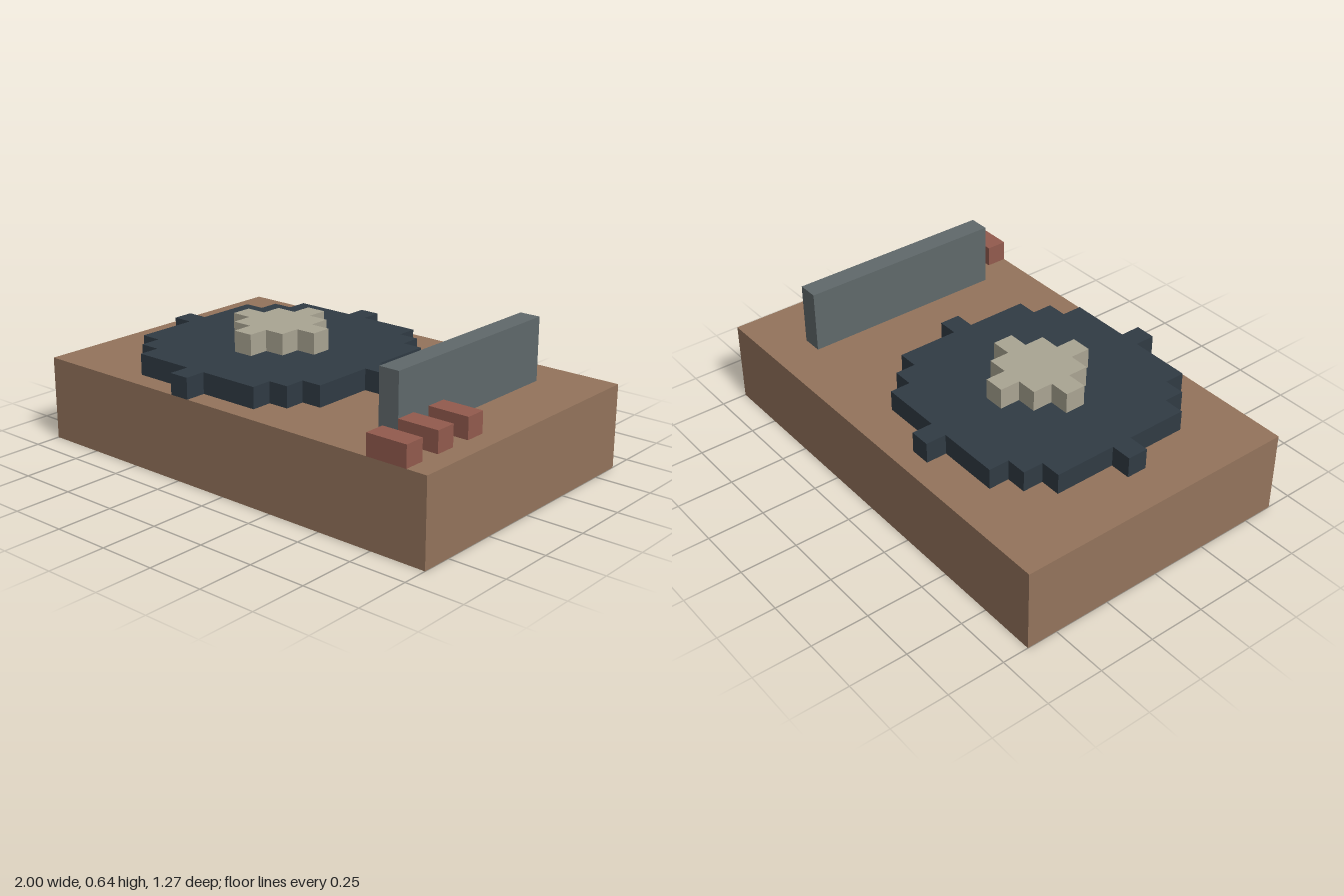
import * as THREE from 'three';

const U = 2 / 22; // one block

function addMesh(parent, name, geometry, color) {
  const material = new THREE.MeshStandardMaterial({ color, flatShading: true });
  const mesh = new THREE.Mesh(geometry, material);
  mesh.name = name;
  parent.add(mesh);
  return mesh;
}

// Box given by its lower and upper corners, in blocks
function block(parent, name, [x0, y0, z0], [x1, y1, z1], color) {
  const geometry = new THREE.BoxGeometry((x1 - x0) * U, (y1 - y0) * U, (z1 - z0) * U);
  const mesh = addMesh(parent, name, geometry, color);
  mesh.position.set((x0 + x1) / 2 * U, (y0 + y1) / 2 * U, (z0 + z1) / 2 * U);
}

// Stepped disc, one block thick: every cell whose centre lies within the radius
function steppedDisc(parent, name, radius, [x, y, z], color) {
  const right = [];
  const left = [];
  for (let row = -radius; row <= radius; row++) {
    const half = Math.floor(Math.sqrt(radius * radius - row * row)) + 0.5;
    for (const edge of [row - 0.5, row + 0.5]) {
      right.push(new THREE.Vector2(half * U, edge * U));
      left.unshift(new THREE.Vector2(-half * U, edge * U));
    }
  }
  // Drop corners that lie along a straight edge
  const points = [...right, ...left].filter((p, i, all) => {
    const a = all[(i + all.length - 1) % all.length];
    const b = all[(i + 1) % all.length];
    const cross = (p.x - a.x) * (b.y - p.y) - (p.y - a.y) * (b.x - p.x);
    return Math.abs(cross) > 1e-8;
  });
  const geometry = new THREE.ExtrudeGeometry(new THREE.Shape(points), { depth: U, bevelEnabled: false });
  geometry.rotateX(-Math.PI / 2);
  addMesh(parent, name, geometry, color).position.set(x * U, y * U, z * U);
}

export function createModel() {
  const model = new THREE.Group();
  model.name = 'recordPlayer';

  // Wooden case
  block(model, 'case', [-11, 0, -7], [11, 4, 7], 0x94745c);

  // Record and its centre label
  steppedDisc(model, 'record', 6, [-2.5, 4, 0.5], 0x303b44);
  steppedDisc(model, 'recordLabel', 2, [-2.5, 5, 0.5], 0xaaa593);

  // Tonearm bar
  block(model, 'tonearm', [7, 4, -5], [8, 7, 5], 0x60696b);

  // Control buttons
  const buttons = new THREE.Group();
  buttons.name = 'buttons';
  for (const z of [2, 4, 6]) block(buttons, 'button', [8, 4, z], [10, 5, z + 1], 0x935b4e);
  model.add(buttons);

  return model;
}
